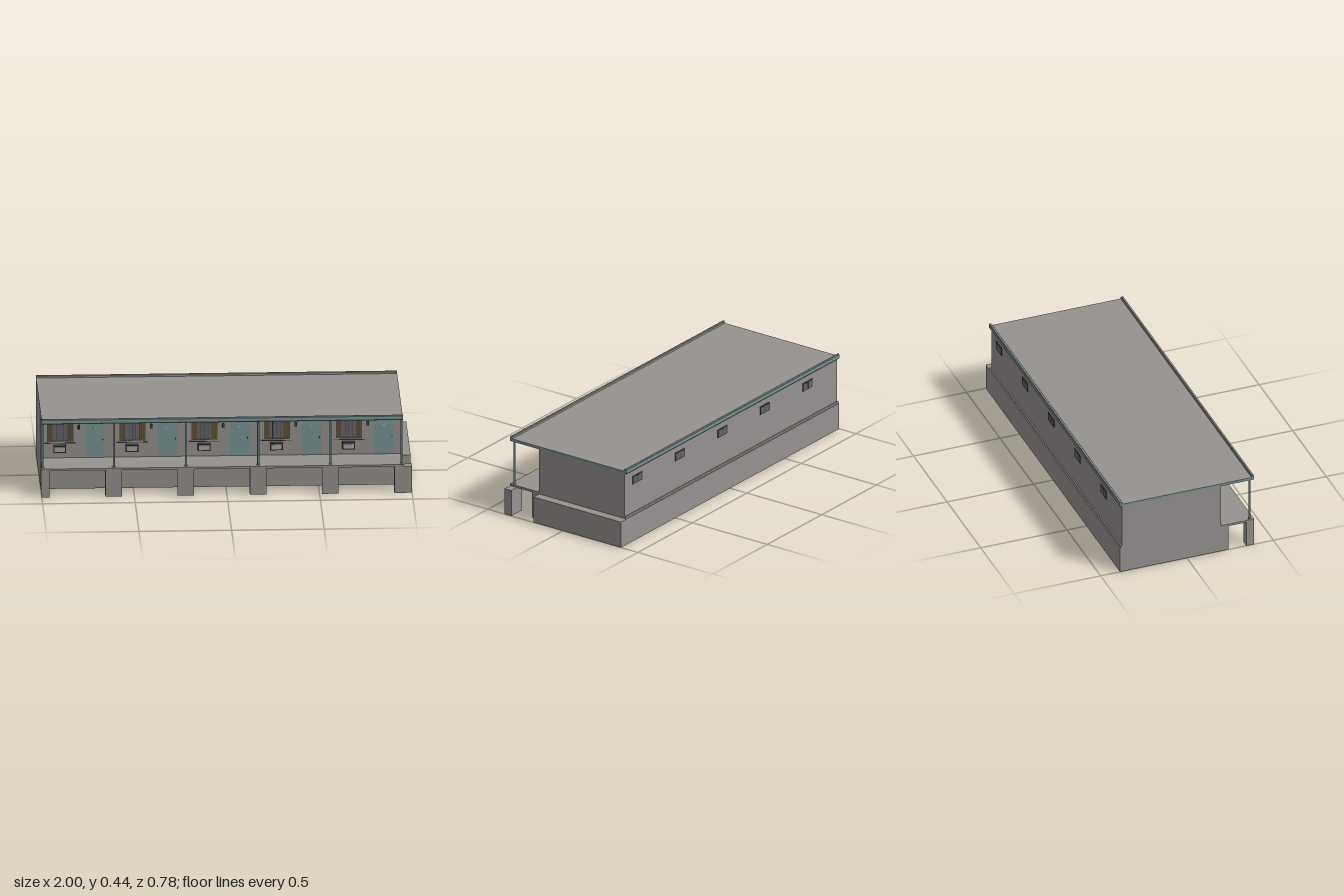
import * as THREE from 'three';

const mat = (name, color) => {
  const m = new THREE.MeshStandardMaterial({ color });
  m.name = name;
  return m;
};

export function createModel() {
  const concrete = mat('concrete grey', 0x969290);
  const teal = mat('teal paint', 0x7a9695);
  const dark = mat('dark metal', 0x454344);
  const glass = mat('window glass', 0x66666a);
  const curtain = mat('brown curtain', 0x65543a);
  const pale = mat('pale casing', 0xaaa7a4);

  const model = new THREE.Group();
  model.name = 'rowBuilding';

  // Box given by its lower and upper limits on each axis
  const box = (name, material, x0, x1, y0, y1, z0, z1, parent = model) => {
    const m = new THREE.Mesh(new THREE.BoxGeometry(x1 - x0, y1 - y0, z1 - z0), material);
    m.position.set((x0 + x1) / 2, (y0 + y1) / 2, (z0 + z1) / 2);
    m.name = name;
    parent.add(m);
    return m;
  };

  const L = -1, R = 0.95, PITCH = 0.39, WALL = 0.197, BACK = -0.375;

  // Foundation, with its front strip stopping short of the right end
  box('foundation', concrete, L, 1, 0, 0.15, -0.388, 0.195);
  box('foundationFront', concrete, L, R, 0, 0.15, 0.195, 0.241);

  // Floor slab under the rooms and walkway slabs in front
  box('floorSlab', concrete, L, R, 0.15, 0.161, -0.382, WALL);
  for (let i = 0; i < 5; i++) {
    const x = L + i * PITCH;
    box('walkwaySlab', concrete, x, x + PITCH / 2, 0.149, 0.161, WALL, 0.389);
    box('walkwaySlab', concrete, x + PITCH / 2, x + PITCH, 0.149, 0.161, WALL, 0.389);
  }

  // Walkway piers
  for (let i = 0; i < 6; i++) {
    const x = -1.046 + i * PITCH;
    box('pier', concrete, Math.max(L, x), i === 5 ? 1 : x + 0.089, 0, 0.15, 0.343, 0.388);
  }

  // Room block
  box('walls', concrete, L, R, 0.161, 0.414, BACK, WALL);

  // Roof: teal slab with grey faces above and below
  box('roofSlab', teal, L, R, 0.414, 0.426, -0.386, 0.386);
  box('roofTop', concrete, L, R, 0.426, 0.428, -0.375, 0.375);
  box('roofUnderside', concrete, L, R, 0.4125, 0.414, -0.38, 0.38);

  // Raised, rounded roof edges front and back
  const lip = new THREE.Shape();
  lip.moveTo(0.374, 0.414);
  lip.lineTo(0.386, 0.413);
  lip.lineTo(0.389, 0.417);
  lip.lineTo(0.389, 0.436);
  lip.lineTo(0.386, 0.44);
  lip.lineTo(0.379, 0.44);
  lip.lineTo(0.376, 0.436);
  lip.lineTo(0.374, 0.428);
  lip.closePath();
  const lipGeo = new THREE.ExtrudeGeometry(lip, { depth: R - L, bevelEnabled: false });
  for (const side of [1, -1]) {
    const edge = new THREE.Group();
    edge.name = side > 0 ? 'frontRoofEdge' : 'backRoofEdge';
    const m = new THREE.Mesh(lipGeo, teal);
    m.name = 'roofLip';
    m.rotation.y = -Math.PI / 2;
    m.position.x = R;
    edge.add(m);
    box('lipTop', concrete, L, R, 0.4395, 0.4405, 0.378, 0.3865, edge);
    box('lipInside', concrete, L, R, 0.428, 0.438, 0.3735, 0.376, edge);
    if (side < 0) {
      edge.rotation.y = Math.PI;
      edge.position.x = L + R;
    }
    model.add(edge);
  }

  // Slim posts with small foot plates
  for (let i = 0; i < 6; i++) {
    const x = i === 0 ? L + 0.006 : i === 5 ? R - 0.006 : L + i * PITCH;
    const post = new THREE.Mesh(new THREE.CylinderGeometry(0.0055, 0.0055, 0.252, 12), teal);
    post.name = 'post';
    post.position.set(x, 0.287, 0.363);
    model.add(post);
    const foot = new THREE.Mesh(new THREE.CylinderGeometry(0.006, 0.01, 0.004, 12), teal);
    foot.name = 'postFoot';
    foot.position.set(x, 0.163, 0.363);
    model.add(foot);
  }

  // Five identical rooms: x is measured from each room's left edge
  for (let i = 0; i < 5; i++) {
    const room = new THREE.Group();
    room.name = 'room';
    room.position.x = L + i * PITCH;
    model.add(room);
    const part = (name, m, x0, x1, y0, y1, z0, z1) => box(name, m, x0, x1, y0, y1, z0, z1, room);

    // Front window with curtains and bars
    part('windowFrame', dark, 0.037, 0.178, 0.253, 0.375, WALL, WALL + 0.0015);
    part('windowGlass', glass, 0.066, 0.146, 0.261, 0.37, WALL, WALL + 0.0025);
    for (const x of [0.039, 0.049, 0.059, 0.147, 0.157, 0.167])
      part('curtainFold', curtain, x, x + 0.007, 0.258, 0.37, WALL, WALL + 0.003);
    for (const x of [0.066, 0.086, 0.106, 0.126, 0.145])
      part('windowBar', dark, x - 0.001, x + 0.001, 0.255, 0.374, WALL, WALL + 0.004);
    part('windowSill', dark, 0.022, 0.19, 0.243, 0.246, WALL, WALL + 0.005);

    // Air conditioner below the window
    part('airConditioner', dark, 0.07, 0.138, 0.197, 0.235, WALL, 0.224);
    part('airConditionerFace', pale, 0.076, 0.132, 0.203, 0.229, 0.224, 0.226);

    // Wall lamp
    part('lampBody', dark, 0.202, 0.215, 0.326, 0.345, WALL + 0.003, 0.212);
    part('lampArm', dark, 0.206, 0.211, 0.343, 0.348, WALL, 0.207);

    // Door with plate and handle
    part('door', teal, 0.243, 0.347, 0.161, 0.376, WALL, WALL + 0.002);
    part('doorPlate', pale, 0.285, 0.303, 0.322, 0.33, WALL, WALL + 0.003);
    part('doorHandle', dark, 0.336, 0.342, 0.257, 0.265, WALL, WALL + 0.006);

    // High rear window
    const c = 0.274;
    part('rearWindowFrame', dark, c - 0.043, c + 0.043, 0.325, 0.373, BACK - 0.003, BACK);
    for (const s of [-1, 1])
      part('rearWindowGlass', glass, c + s * 0.019 - 0.016, c + s * 0.019 + 0.016,
        0.332, 0.366, BACK - 0.004, BACK);
  }

  return model;
}
